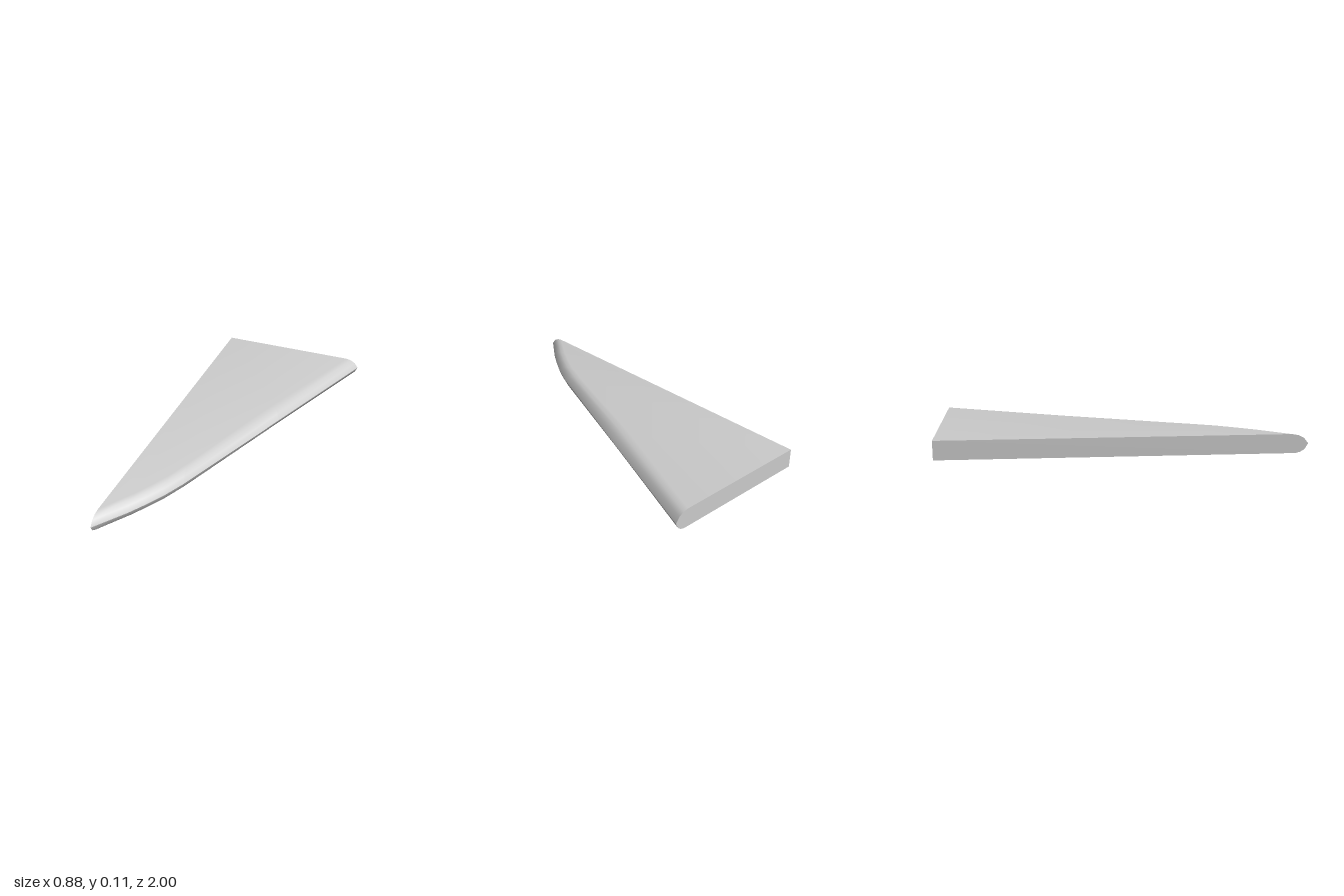
import * as THREE from 'three';
import { toCreasedNormals } from 'three/addons/utils/BufferGeometryUtils.js';

const CORNER = { x: -0.44, z: -1 };

// Leading edge in plan: x, z, depth of the rounding measured towards the corner
const EDGE = [
  [0.44, -1, 0.08], [0.15, -0.245, 0.1], [-0.14, 0.51, 0.118], [-0.2, 0.64, 0.11],
  [-0.26, 0.743, 0.105], [-0.315, 0.83, 0.1], [-0.38, 0.918, 0.095], [-0.44, 1, 0.09],
];

// Rounded nose, top to bottom: share of the rounding depth, height
const NOSE = [
  [1, 0.106], [0.62, 0.1], [0.27, 0.084], [0, 0.054],
  [0.2, 0.022], [0.45, 0.007], [0.7, 0.001], [0.9, 0],
];

// One slice through the panel, from the square corner out to the edge and back
function section([x, z, depth]) {
  const dx = CORNER.x - x, dz = CORNER.z - z;
  const length = Math.hypot(dx, dz);
  const nose = NOSE.map(([share, y]) => {
    const t = (share * depth) / length;
    return [x + dx * t, y, z + dz * t];
  });
  return [[CORNER.x, 0.106, CORNER.z], ...nose, [CORNER.x, 0, CORNER.z]];
}

function panelGeometry() {
  const rings = EDGE.map(section);
  const last = rings[0].length - 1;
  const positions = [];
  const tri = (...points) => points.forEach((p) => positions.push(...p));

  // Top, nose and underside
  for (let i = 0; i < rings.length - 1; i++) {
    const r = rings[i], s = rings[i + 1];
    for (let j = 0; j < last; j++) {
      if (j > 0) tri(r[j], s[j], s[j + 1]);
      if (j < last - 1) tri(r[j], s[j + 1], r[j + 1]);
    }
  }

  // Flat faces along the back and the straight side
  const back = rings[0], side = rings[rings.length - 1];
  for (let j = 1; j < last; j++) {
    tri(back[0], back[j], back[j + 1]);
    tri(side[0], side[j + 1], side[j]);
  }

  const geometry = new THREE.BufferGeometry();
  geometry.setAttribute('position', new THREE.Float32BufferAttribute(positions, 3));
  return toCreasedNormals(geometry, 0.6);
}

export function createModel() {
  const group = new THREE.Group();
  group.name = 'wing';
  const panel = new THREE.Mesh(
    panelGeometry(),
    new THREE.MeshStandardMaterial({ color: 0xcccccc }),
  );
  panel.name = 'wingPanel';
  group.add(panel);
  return group;
}
